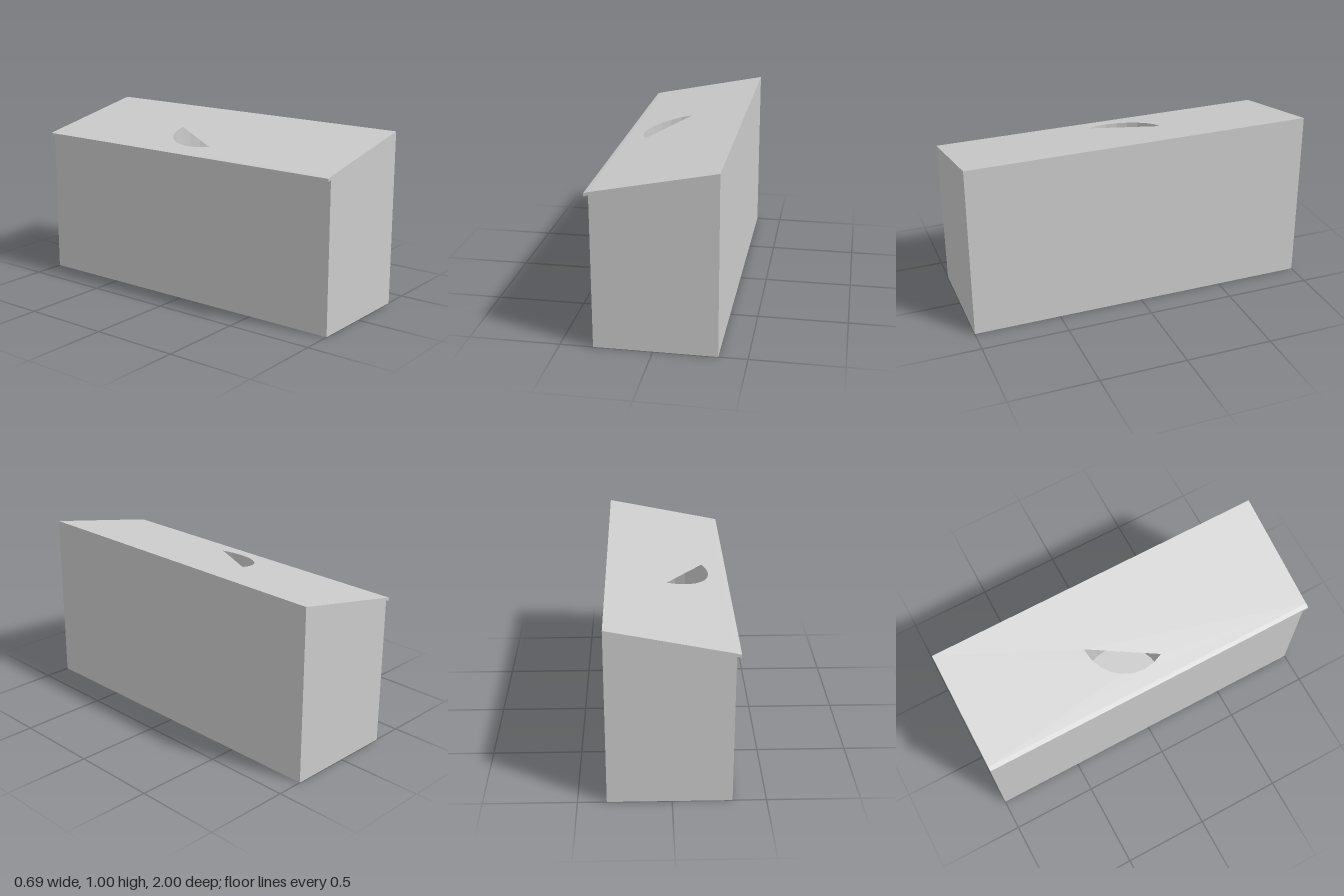
import * as THREE from 'three';

const LEFT = -0.32, RIGHT = 0.345, EAVE = -0.345, LENGTH = 2;
const BORE_X = 0.01, BORE_R = 0.246, BORE_FLOOR = 0.01, SIDES = 24;

// Height of the sloping roof at a given x
const roofY = (x) => 1 - (RIGHT - x) * 0.2;

export function createModel() {
  const group = new THREE.Group();
  const add = (name, geometry, side = THREE.FrontSide) => {
    const material = new THREE.MeshStandardMaterial({ color: 0xcccccc, flatShading: true, side });
    const mesh = new THREE.Mesh(geometry, material);
    mesh.name = name;
    group.add(mesh);
  };
  // Moves every vertex chosen by the test up to the roof plane
  const fitToRoof = (geometry, test) => {
    const p = geometry.attributes.position;
    for (let i = 0; i < p.count; i++) if (test(p.getY(i))) p.setY(i, roofY(p.getX(i)));
    geometry.computeVertexNormals();
    return geometry;
  };

  // Box body without its top face, walls cut to the slope
  const body = new THREE.BoxGeometry(RIGHT - LEFT, 0.8, LENGTH);
  body.translate((LEFT + RIGHT) / 2, 0.4, 0);
  const index = Array.from(body.index.array);
  index.splice(12, 6);
  body.setIndex(index);
  body.clearGroups();
  add('body', fitToRoof(body, (y) => y > 0.4));

  // Sloping roof with a circle-segment opening
  const roof = new THREE.Shape();
  roof.moveTo(LEFT, -1).lineTo(RIGHT, -1).lineTo(RIGHT, 1).lineTo(LEFT, 1).closePath();
  const segment = [];
  for (let i = 0; i <= 8; i++) {
    const a = Math.PI / 2 + (i * 2 * Math.PI) / SIDES;
    segment.push(new THREE.Vector2(BORE_X + BORE_R * Math.cos(a), BORE_R * Math.sin(a)));
  }
  roof.holes.push(new THREE.Path(segment));
  const roofGeometry = new THREE.ShapeGeometry(roof).rotateX(-Math.PI / 2);
  add('roof', fitToRoof(roofGeometry, () => true));

  // Round shaft below the opening, seen from inside
  const shaft = new THREE.CylinderGeometry(BORE_R, BORE_R, 0.8, SIDES, 1, true);
  shaft.translate(BORE_X, 0.4 + BORE_FLOOR, 0);
  add('shaftWall', fitToRoof(shaft, (y) => y > 0.4), THREE.BackSide);
  const floor = new THREE.CircleGeometry(BORE_R, SIDES).rotateX(-Math.PI / 2);
  add('shaftFloor', floor.translate(BORE_X, BORE_FLOOR, 0));

  // Thin overhanging lip along the low edge
  const lip = new THREE.Shape();
  lip.moveTo(EAVE, 0.843).lineTo(LEFT, 0.85).lineTo(LEFT, roofY(LEFT)).lineTo(EAVE, 0.86).closePath();
  const lipGeometry = new THREE.ExtrudeGeometry(lip, { depth: LENGTH, bevelEnabled: false });
  add('eaveLip', lipGeometry.translate(0, 0, -LENGTH / 2));

  return group;
}
